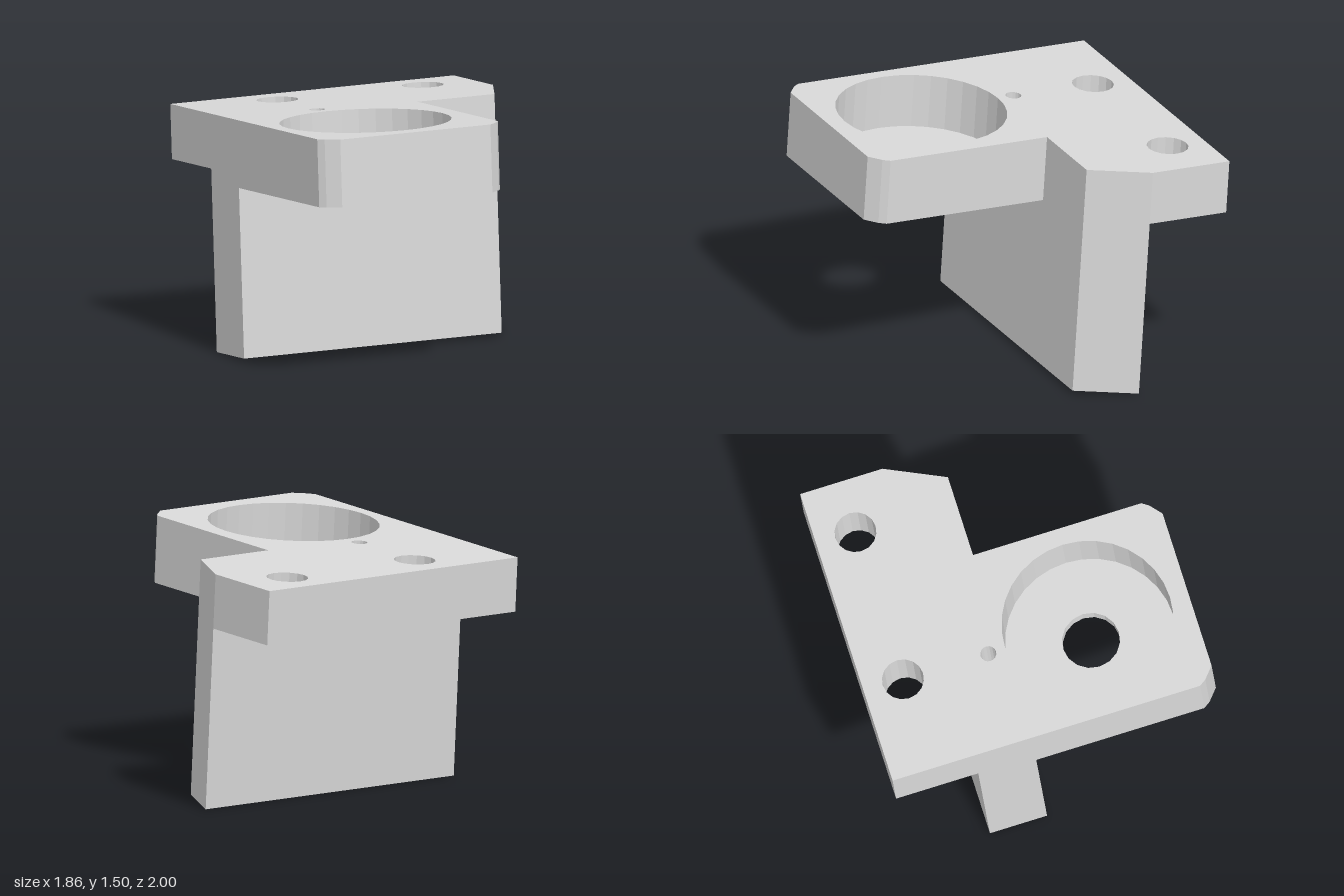
import * as THREE from 'three';

const TILT = -0.0657;              // whole bracket leans slightly about x
const X = 0.929, ARM = 0.255;      // half width, right edge of the front arm
const BACK = -0.908, STEM_BACK = -0.406, STEM_FRONT = -0.057, FRONT = 1.07;
const BOTTOM = 0.027, ARM_BOTTOM = 1.032, LEDGE = 1.108, TOP = 1.433;

// Points of a round hole in the plan (x, z), wound against the outlines
function circle(x, z, r, n) {
  return Array.from({ length: n }, (_, i) => {
    const a = (-2 * Math.PI * i) / n;
    return [x + r * Math.cos(a), z + r * Math.sin(a)];
  });
}
const toPlan = (pts) => pts.map(([x, z]) => new THREE.Vector2(x, -z));

// Upright slab from a plan outline with optional holes
function slab(name, outline, holes, y0, y1, material) {
  const shape = new THREE.Shape(toPlan(outline));
  holes.forEach((h) => shape.holes.push(new THREE.Path(toPlan(h))));
  const geo = new THREE.ExtrudeGeometry(shape, { depth: y1 - y0, bevelEnabled: false });
  geo.rotateX(-Math.PI / 2).translate(0, y0, 0);
  const mesh = new THREE.Mesh(geo, material);
  mesh.name = name;
  return mesh;
}

export function createModel() {
  const metal = new THREE.MeshStandardMaterial({ color: 0xd9d9d9, flatShading: true });
  metal.name = 'light grey metal';
  const group = new THREE.Group();
  group.name = 'bracket';
  const body = new THREE.Group();
  body.name = 'tiltedBody';
  body.rotation.x = TILT;
  group.add(body);

  // Front end of the arm with cut corners, as insets from the square corner
  const corner = [[0, 0.1], [0.028, 0.06], [0.1, 0]];
  const armEnd = [
    ...corner.map(([dx, dz]) => [ARM - dx, FRONT - dz]),
    ...corner.map(([dx, dz]) => [-X + dx, FRONT - dz]).reverse(),
  ];

  // Top plate: counterbore, blind pin hole and two mounting holes
  body.add(slab('topPlate',
    [[-X, BACK], [X, BACK], [X, STEM_BACK], [0.76, STEM_FRONT], [ARM, STEM_FRONT], ...armEnd],
    [
      circle(-0.35, 0.458, 0.503, 32),
      circle(-0.355, -0.149, 0.047, 16),
      circle(-0.35, -0.669, 0.123, 16),
      circle(0.604, -0.669, 0.123, 16),
    ], LEDGE, TOP, metal));

  // Counterbore floor under the arm, with its through hole
  body.add(slab('boreFloor',
    [[-X, STEM_FRONT], [ARM, STEM_FRONT], ...armEnd],
    [circle(-0.35, 0.458, 0.17, 16)], ARM_BOTTOM, LEDGE, metal));

  // Vertical stem with one slanted end
  body.add(slab('stem',
    [[-X, STEM_BACK], [X, STEM_BACK], [0.76, STEM_FRONT], [-X, STEM_FRONT]],
    [], BOTTOM, LEDGE, metal));

  return group;
}
